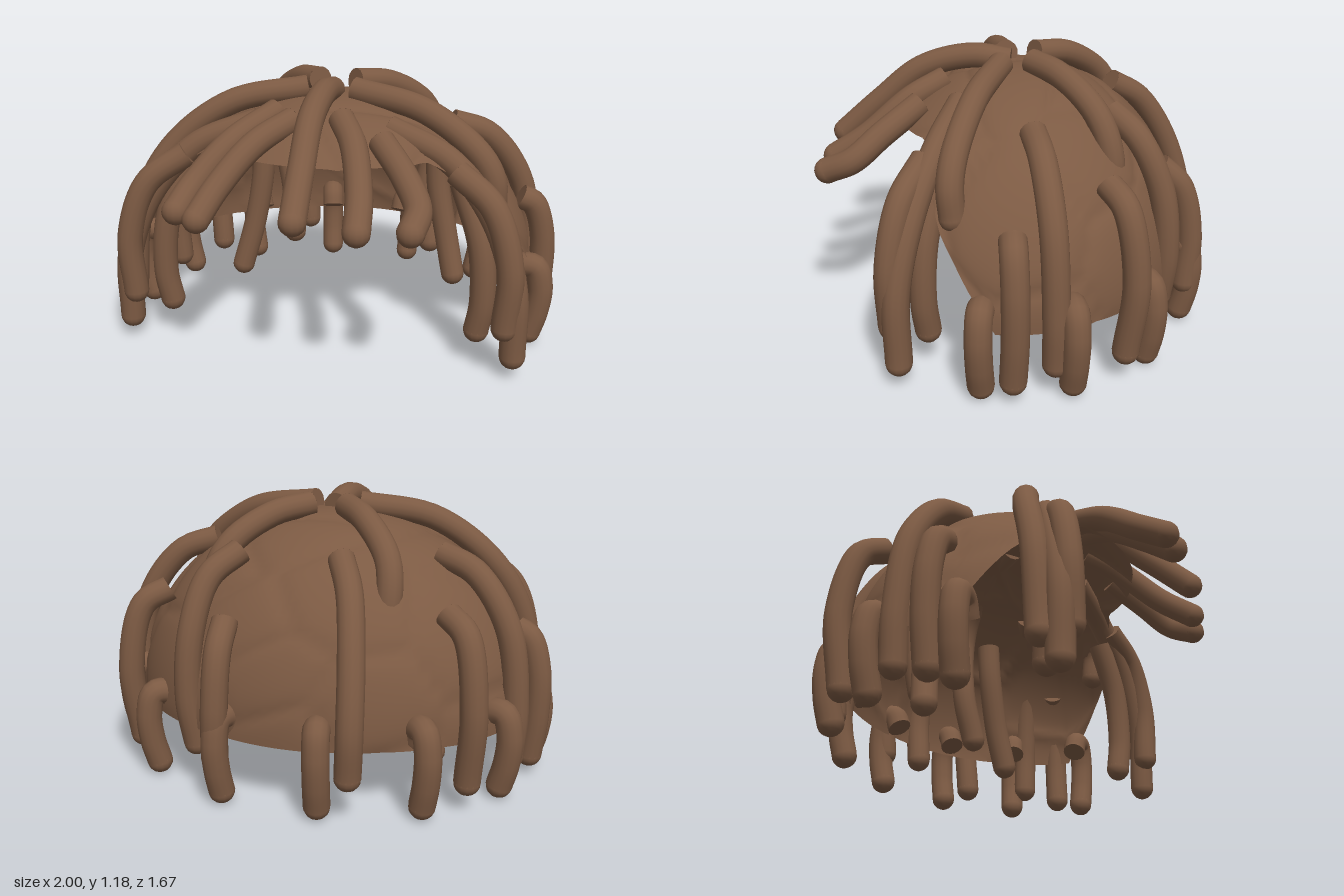
import * as THREE from 'three';
import { mergeGeometries } from 'three/addons/utils/BufferGeometryUtils.js';

const R = 0.055; // lock radius

// Height of the cap's lower edge for a given depth: low at the back, rising to the fringe
function rimHeight(z) {
  if (z < 0) return 0.28;
  if (z < 0.22) return 0.28 + z * 1.55;
  return Math.min(0.9, 0.621 + (z - 0.22) * 2.5);
}

// Evenly spread directions used for the shallow cells on the cap
const cells = Array.from({ length: 48 }, (_, i) => {
  const y = 1 - (2 * (i + 0.5)) / 48, r = Math.sqrt(1 - y * y), a = i * 2.39996 + 0.35 * Math.sin(i * 7.3);
  return new THREE.Vector3(r * Math.cos(a), y, r * Math.sin(a));
});

function domePoint(azimuth, phi) {
  const d = new THREE.Vector3(Math.cos(phi) * Math.sin(azimuth), Math.sin(phi), Math.cos(phi) * Math.cos(azimuth));
  let d1 = 9, d2 = 9;
  for (const c of cells) {
    const l = c.distanceTo(d);
    if (l < d1) { d2 = d1; d1 = l; } else if (l < d2) d2 = l;
  }
  const k = 1.005 - 0.018 * Math.exp(-(d2 - d1) * 16);
  return new THREE.Vector3(d.x * 0.9 * k, 0.28 + d.y * 0.82 * k, d.z * (d.z > 0 ? 0.8 : 0.75) * k);
}

// Open dome trimmed along the rim curve
function capGeometry() {
  const cols = 140, rows = 48, pos = [], index = [];
  for (let i = 0; i < cols; i++) {
    const a = (i / cols) * Math.PI * 2;
    let lo = 0, hi = Math.PI / 2;
    for (let s = 0; s < 24; s++) {
      const m = (lo + hi) / 2, y = 0.28 + 0.82 * Math.sin(m);
      const z = Math.cos(m) * Math.cos(a) * 0.8;
      if (y < rimHeight(z)) lo = m; else hi = m;
    }
    for (let j = 0; j <= rows; j++) {
      pos.push(...domePoint(a, THREE.MathUtils.lerp(Math.PI / 2, hi, j / rows)).toArray());
    }
  }
  for (let i = 0; i < cols; i++) {
    const p = i * (rows + 1), q = ((i + 1) % cols) * (rows + 1);
    for (let j = 0; j < rows; j++) {
      if (j > 0) index.push(p + j, p + j + 1, q + j);
      index.push(q + j, p + j + 1, q + j + 1);
    }
  }
  const g = new THREE.BufferGeometry();
  g.setAttribute('position', new THREE.Float32BufferAttribute(pos, 3));
  g.setIndex(index);
  g.computeVertexNormals();
  return g;
}

// Tube with a flat root and a rounded tip
function lockGeometry(points) {
  const curve = new THREE.CatmullRomCurve3(points.map(p => new THREE.Vector3(...p)));
  const start = curve.getPoint(0), end = curve.getPoint(1);
  const root = new THREE.CircleGeometry(R, 14)
    .applyQuaternion(new THREE.Quaternion().setFromUnitVectors(new THREE.Vector3(0, 0, 1), curve.getTangent(0).negate()))
    .translate(start.x, start.y, start.z);
  const tip = new THREE.SphereGeometry(R, 14, 10).translate(end.x, end.y, end.z);
  return mergeGeometries([new THREE.TubeGeometry(curve, 30, R, 14), root, tip]);
}

export function createModel() {
  const model = new THREE.Group();
  const brown = new THREE.MeshStandardMaterial({ color: 0x7c5a43, side: THREE.DoubleSide });
  brown.name = 'brown hair';

  const add = (name, geometry) => {
    const mesh = new THREE.Mesh(geometry, brown);
    mesh.name = name;
    model.add(mesh);
  };
  const mirror = points => points.map(([x, y, z]) => [-x, y, z]);

  add('cap', capGeometry());

  // Single locks, listed root to tip
  const single = {
    fringeLock: [
      [[0, 1.11, 0.03], [0, 1.13, 0.2], [0, 1.07, 0.42], [0.01, 0.92, 0.61], [0.02, 0.77, 0.78]],
      [[-0.1, 1.04, 0.32], [-0.22, 0.97, 0.48], [-0.32, 0.84, 0.64], [-0.37, 0.74, 0.76]],
      [[-0.18, 1.06, 0.27], [-0.32, 0.97, 0.47], [-0.43, 0.83, 0.63], [-0.46, 0.76, 0.74]],
      [[0.1, 1.05, 0.3], [0.18, 0.98, 0.44], [0.24, 0.83, 0.62], [0.26, 0.74, 0.76]],
      [[0.28, 0.99, 0.38], [0.4, 0.89, 0.52], [0.47, 0.8, 0.63], [0.46, 0.75, 0.74]],
    ],
    longTempleLock: [
      [[0.1, 1.12, 0.06], [0.42, 1.06, 0.13], [0.65, 0.91, 0.18], [0.72, 0.8, 0.19], [0.73, 0.68, 0.18]],
      [[-0.1, 1.12, 0.06], [-0.42, 1.06, 0.15], [-0.68, 0.86, 0.22], [-0.82, 0.58, 0.29], [-0.86, 0.2, 0.32]],
    ],
    crownLock: [
      [[0.08, 1.13, -0.07], [0.21, 1.1, -0.21], [0.35, 0.98, -0.36], [0.4, 0.81, -0.42], [0.36, 0.5, -0.4], [0.4, 0.28, -0.36]],
      [[-0.08, 1.13, -0.07], [-0.21, 1.1, -0.21], [-0.35, 0.97, -0.36], [-0.37, 0.8, -0.42], [-0.31, 0.5, -0.4], [-0.29, 0.27, -0.36]],
    ],
    innerLock: [
      [[0.43, 0.78, -0.3], [0.44, 0.6, -0.29], [0.49, 0.35, -0.27], [0.53, 0.17, -0.24]],
      [[-0.43, 0.78, -0.3], [-0.43, 0.6, -0.29], [-0.47, 0.35, -0.27], [-0.53, 0.12, -0.24]],
    ],
    backLock: [
      [[0.27, 0.98, -0.41], [0.36, 0.89, -0.53], [0.4, 0.68, -0.63], [0.41, 0.4, -0.66], [0.39, 0.2, -0.64]],
      [[0.25, 0.74, -0.62], [0.24, 0.64, -0.72], [0.24, 0.42, -0.77], [0.25, 0.2, -0.76]],
      [[-0.17, 0.98, -0.41], [-0.25, 0.88, -0.55], [-0.3, 0.67, -0.68], [-0.32, 0.4, -0.76], [-0.31, 0.2, -0.75]],
    ],
  };
  for (const [name, list] of Object.entries(single)) list.forEach(p => add(name, lockGeometry(p)));

  // Locks found on both sides
  const paired = {
    midTempleLock: [[0.28, 1.0, 0.21], [0.55, 0.89, 0.27], [0.74, 0.68, 0.34], [0.84, 0.4, 0.39], [0.85, 0.1, 0.39]],
    frontTempleLock: [[0.58, 0.86, 0.31], [0.74, 0.74, 0.38], [0.82, 0.5, 0.42], [0.81, 0.24, 0.42]],
    innerTempleLock: [[0.6, 0.8, 0.25], [0.69, 0.55, 0.3], [0.71, 0.3, 0.31], [0.69, 0.16, 0.3]],
    upperSideLock: [[0.51, 0.96, -0.11], [0.67, 0.9, -0.16], [0.82, 0.69, -0.21], [0.87, 0.35, -0.23], [0.86, 0.14, -0.23]],
    rearSideLock: [[0.61, 0.79, -0.41], [0.7, 0.73, -0.48], [0.75, 0.45, -0.53], [0.73, 0.13, -0.5]],
    outerSideLock: [[0.83, 0.65, -0.06], [0.89, 0.62, -0.07], [0.935, 0.48, -0.08], [0.94, 0.28, -0.08], [0.92, 0.09, -0.07]],
  };
  for (const [name, points] of Object.entries(paired)) {
    add(name, lockGeometry(points));
    add(name, lockGeometry(mirror(points)));
  }

  // Short locks hooked through the cap just above the rim
  const rim = [[0.945, 0.06], [0.89, -0.31], [0.63, -0.61], [0.24, -0.78], [-0.19, -0.78], [-0.6, -0.64], [-0.87, -0.35], [-0.945, 0.03]];
  rim.forEach(([x, z]) => {
    const at = (k, y) => [x * k, y, z * k];
    add('rimLock', lockGeometry([at(0.86, 0.31), at(0.9, 0.37), at(0.97, 0.37), at(1, 0.28), at(0.99, 0.16), at(0.96, 0.056)]));
  });

  return model;
}
